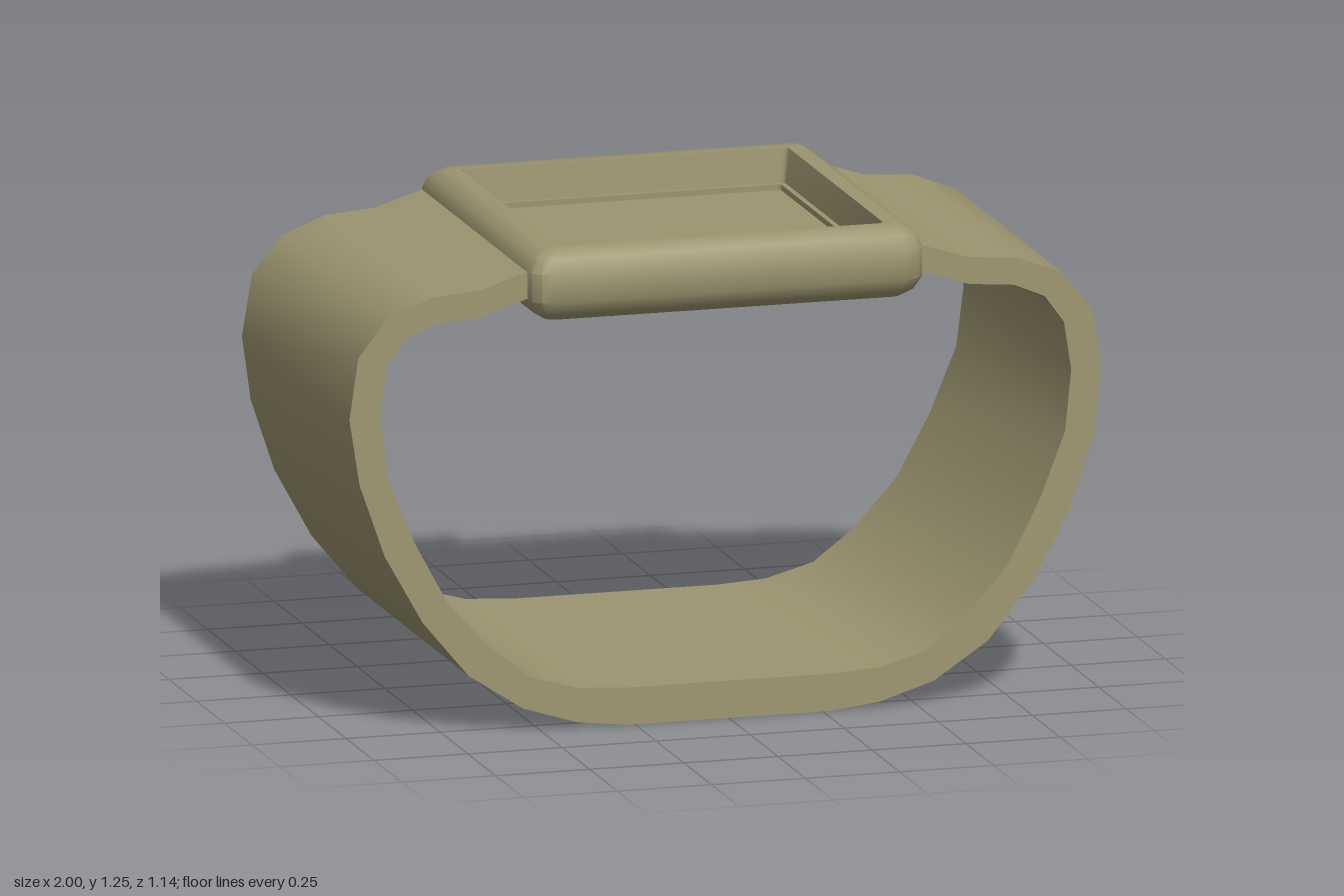
import * as THREE from 'three';
import { toCreasedNormals } from 'three/addons/utils/BufferGeometryUtils.js';

const CENTRE_Z = 0.045;

// Skin a closed surface over a list of equal-length rings, capping both ends
function loft(rings, crease) {
  const n = rings[0].length;
  const index = [];
  for (let i = 0; i < rings.length - 1; i++) {
    for (let j = 0; j < n; j++) {
      const a = i * n + j, b = i * n + (j + 1) % n;
      index.push(a, b, b + n, a, b + n, a + n);
    }
  }
  const last = (rings.length - 1) * n;
  for (let j = 1; j < n - 1; j++) {
    index.push(0, j + 1, j);
    index.push(last, last + j, last + j + 1);
  }
  const geometry = new THREE.BufferGeometry();
  geometry.setAttribute('position', new THREE.Float32BufferAttribute(rings.flat(2), 3));
  geometry.setIndex(index);
  return toCreasedNormals(geometry, crease);
}

// Horizontal rounded rectangle, counter-clockwise seen from above
function roundedRing(halfX, halfZ, y, radius, steps = 3) {
  const ring = [];
  [[1, 1], [-1, 1], [-1, -1], [1, -1]].forEach(([sx, sz], corner) => {
    for (let k = 0; k <= steps; k++) {
      const angle = (corner + k / steps) * Math.PI / 2;
      ring.push([
        sx * (halfX - radius) + radius * Math.cos(angle),
        y,
        CENTRE_Z - sz * (halfZ - radius) - radius * Math.sin(angle),
      ]);
    }
  });
  return ring;
}

// Case: bevelled body, rim, stepped recess and screen floor in one skin
function caseGeometry() {
  const profile = [ // half x, half z, y, corner radius
    [0.475, 0.475, 1.065, 0.03],
    [0.505, 0.505, 1.085, 0.045],
    [0.525, 0.525, 1.12, 0.055],
    [0.525, 0.525, 1.195, 0.055],
    [0.508, 0.508, 1.23, 0.045],
    [0.475, 0.475, 1.25, 0.03],
    [0.435, 0.435, 1.25, 0.015],
    [0.424, 0.424, 1.16, 0.012],
    [0.41, 0.41, 1.16, 0.01],
    [0.41, 0.41, 1.145, 0.01],
  ];
  return loft(profile.map((p) => roundedRing(...p)), 0.65);
}

// Strap: outer and inner outline of the right half, mirrored to the left
function strapGeometry() {
  const half = [ // outer x, outer y, inner x, inner y
    [0.50, 1.203, 0.50, 1.133],
    [0.65, 1.155, 0.65, 1.085],
    [0.78, 1.145, 0.77, 1.075],
    [0.895, 1.10, 0.85, 1.04],
    [0.975, 1.00, 0.90, 0.97],
    [1.00, 0.84, 0.918, 0.845],
    [0.975, 0.67, 0.90, 0.685],
    [0.91, 0.48, 0.83, 0.51],
    [0.81, 0.30, 0.745, 0.35],
    [0.69, 0.155, 0.635, 0.225],
    [0.545, 0.06, 0.525, 0.14],
    [0.40, 0.015, 0.40, 0.105],
    [0.27, 0.0, 0.27, 0.097],
  ];
  const mirrored = half.map(([ox, oy, ix, iy]) => [-ox, oy, -ix, iy]).reverse();
  // The band widens slightly towards the bottom
  const halfWidth = (y) => 0.513 - 0.033 * y;
  const rings = [...half, ...mirrored].map(([ox, oy, ix, iy]) => {
    const wo = halfWidth(oy), wi = halfWidth(iy);
    return [
      [ox, oy, CENTRE_Z + wo],
      [ix, iy, CENTRE_Z + wi],
      [ix, iy, CENTRE_Z - wi],
      [ox, oy, CENTRE_Z - wo],
    ];
  });
  return loft(rings, 0.7);
}

export function createModel() {
  const group = new THREE.Group();
  group.name = 'wristwatch';
  const material = new THREE.MeshStandardMaterial({ color: 0x9c9570 });

  const add = (name, geometry) => {
    const mesh = new THREE.Mesh(geometry, material);
    mesh.name = name;
    group.add(mesh);
    return mesh;
  };

  add('case', caseGeometry());
  add('strap', strapGeometry());

  // Flat push button on the back edge
  add('sideButton', new THREE.BoxGeometry(0.29, 0.04, 0.13)).position.set(-0.18, 1.158, -0.508);

  return group;
}
